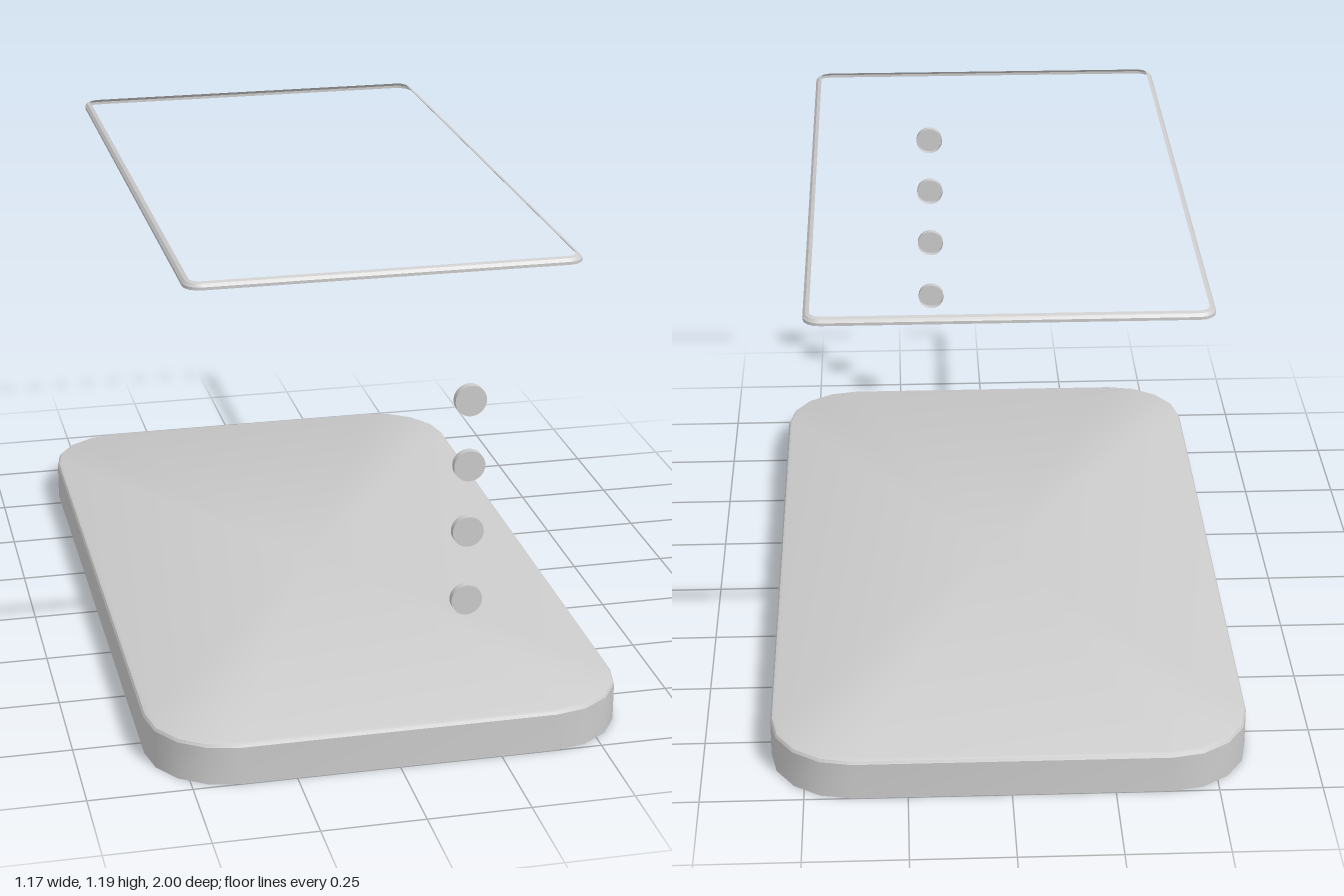
import * as THREE from 'three';
import { toCreasedNormals } from 'three/addons/utils/BufferGeometryUtils.js';

const material = new THREE.MeshStandardMaterial({ color: 0xcccccc, side: THREE.DoubleSide });

// Rounded rectangle outline in the xz plane
function outline(halfX, halfZ, radius, y, segments) {
  const points = [];
  for (let corner = 0; corner < 4; corner++) {
    const sx = corner === 0 || corner === 3 ? 1 : -1;
    const sz = corner < 2 ? 1 : -1;
    for (let i = 0; i <= segments; i++) {
      const a = (corner + i / segments) * Math.PI / 2;
      points.push([
        sx * (halfX - radius) + radius * Math.cos(a), y,
        sz * (halfZ - radius) + radius * Math.sin(a),
      ]);
    }
  }
  return points;
}

// Thin shell: the outline follows a profile of [inset, height] steps, open below
function roundedShell(halfX, halfZ, radius, profile, segments, capped) {
  const loops = profile.map(([inset, y]) =>
    outline(halfX - inset, halfZ - inset, radius - inset, y, segments));
  const n = loops[0].length;
  const positions = loops.flat(2);
  const indices = [];
  for (let k = 0; k < loops.length - 1; k++) {
    for (let i = 0; i < n; i++) {
      const a = k * n + i, b = k * n + (i + 1) % n;
      indices.push(a, a + n, b, b, a + n, b + n);
    }
  }
  if (capped) {
    const top = (loops.length - 1) * n;
    const centre = positions.length / 3;
    positions.push(0, profile[profile.length - 1][1], 0);
    for (let i = 0; i < n; i++) indices.push(centre, top + (i + 1) % n, top + i);
  }
  const geometry = new THREE.BufferGeometry();
  geometry.setAttribute('position', new THREE.Float32BufferAttribute(positions, 3));
  geometry.setIndex(indices);
  return toCreasedNormals(geometry, 0.5);
}

export function createModel() {
  const model = new THREE.Group();
  model.name = 'explodedCase';

  const add = (name, geometry, parent = model) => {
    const mesh = new THREE.Mesh(geometry, material);
    mesh.name = name;
    parent.add(mesh);
    return mesh;
  };

  // Case lid: large rounded corners, small softened top edge, open underneath
  add('caseShell', roundedShell(0.584, 1, 0.2,
    [[0, 0.044], [0, 0.14], [0.004, 0.147], [0.012, 0.151]], 4, true));

  // Slim raised frame floating above the case
  add('screenFrame', roundedShell(0.471, 0.835, 0.04,
    [[0, 1.215], [0, 1.222], [0.006, 1.229], [0.015, 1.232]], 4, false));

  // Column of round buttons at the front: a rim with a front face
  const rim = new THREE.CylinderGeometry(0.037, 0.037, 0.018, 32, 1, true).rotateX(Math.PI / 2);
  const face = new THREE.CircleGeometry(0.037, 32).translate(0, 0, 0.009);
  [0.466, 0.639, 0.803, 0.963].forEach((y, i) => {
    const button = new THREE.Group();
    button.name = `button${i + 1}`;
    button.position.set(0.154, y, 0.991);
    add('buttonRim', rim, button);
    add('buttonFace', face, button);
    model.add(button);
  });

  return model;
}
